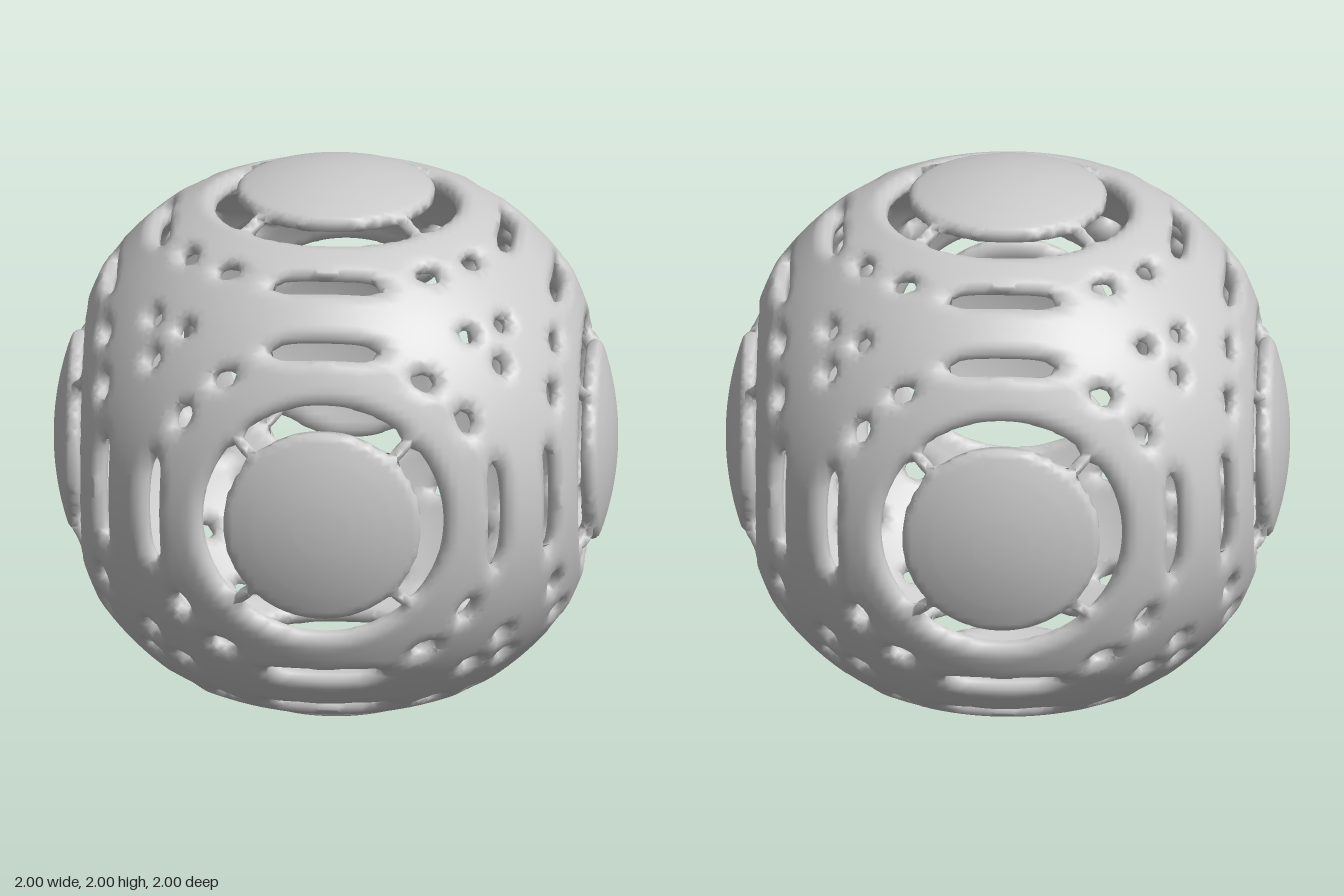
import * as THREE from 'three';

const clamp = THREE.MathUtils.clamp;

// Holes, given as squared direction components in eighths (smallest to largest) and a radius.
// Each one repeats over all mirrored and permuted axes.
const HOLES = [
  [0, 3, 5, 0.045], // long slots between neighbouring caps
  [1, 2, 5, 0.035], // pairs of small holes
  [2, 3, 3, 0.034], // three holes around each corner
];

// Signed distance to the surface of a perforated shell with rounded hole edges.
function field(x, y, z) {
  const r = Math.hypot(x, y, z);
  if (r < 0.8) return 0.1;
  const [a, b, c] = [Math.abs(x) / r, Math.abs(y) / r, Math.abs(z) / r].sort((p, q) => p - q);
  const u = a * a, v = b * b, w = c * c;

  // the caps are a little thinner than the bands
  const cap = clamp((w - 0.81) / 0.05, 0, 1);
  const band = 0.962 + 0.025 * clamp((0.8 - w) / 0.15, 0, 1);
  const radius = band + (0.97 - band) * cap;
  const half = 0.036 - 0.006 * cap;

  // ring gap around each cap, bridged on the diagonals
  const ring = (0.034 - Math.abs(w - 0.834)) / 0.75;
  const bridge = (b - a) / Math.SQRT2 - 0.022;
  let edge = -Math.min(ring, bridge);
  for (const [i, j, k, size] of HOLES) {
    const d = Math.hypot(u - i / 8, v - j / 8, w - k / 8);
    edge = Math.min(edge, (d - size) / 1.3);
  }
  return Math.hypot(r - radius, Math.max(0, half - edge)) - half;
}

// Quad mesh of the zero level of a field: one vertex per crossed cell, one quad per crossed edge.
function surfaceNet(f, n, extent) {
  const h = (2 * extent) / n, m = n + 1;
  const strides = [1, m, m * m];
  const at = (i) => -extent + i * h;
  const values = new Float32Array(m * m * m);
  for (let k = 0, q = 0; k < m; k++)
    for (let j = 0; j < m; j++)
      for (let i = 0; i < m; i++) values[q++] = f(at(i), at(j), at(k));

  const positions = [], normals = [], indices = [];
  const cellVertex = new Int32Array(m * m * m).fill(-1);
  const gradient = (p) => {
    const e = 0.004;
    return new THREE.Vector3(
      f(p.x + e, p.y, p.z) - f(p.x - e, p.y, p.z),
      f(p.x, p.y + e, p.z) - f(p.x, p.y - e, p.z),
      f(p.x, p.y, p.z + e) - f(p.x, p.y, p.z - e)
    ).divideScalar(2 * e);
  };

  for (let k = 0; k < n; k++)
    for (let j = 0; j < n; j++)
      for (let i = 0; i < n; i++) {
        const base = i + j * m + k * m * m;
        const p = new THREE.Vector3();
        let count = 0;
        // average the crossings on the cell's twelve edges
        for (let corner = 0; corner < 8; corner++) {
          const o = [corner & 1, (corner >> 1) & 1, corner >> 2];
          const s = base + o[0] + o[1] * m + o[2] * m * m;
          for (let axis = 0; axis < 3; axis++) {
            if (o[axis]) continue;
            const v0 = values[s], v1 = values[s + strides[axis]];
            if (v0 < 0 === v1 < 0) continue;
            const t = [...o];
            t[axis] = v0 / (v0 - v1);
            p.x += t[0]; p.y += t[1]; p.z += t[2];
            count++;
          }
        }
        if (!count) continue;
        p.divideScalar(count);
        p.set(at(i + p.x), at(j + p.y), at(k + p.z));
        // pull the vertex onto the surface
        const g = gradient(p);
        const step = clamp(f(p.x, p.y, p.z) / Math.max(g.lengthSq(), 0.3), -h / 3, h / 3);
        p.addScaledVector(g, -step);
        cellVertex[base] = positions.length / 3;
        positions.push(p.x, p.y, p.z);
      }

  for (let k = 1; k < n; k++)
    for (let j = 1; j < n; j++)
      for (let i = 1; i < n; i++) {
        const s = i + j * m + k * m * m;
        for (let axis = 0; axis < 3; axis++) {
          const inside = values[s] < 0;
          if (inside === values[s + strides[axis]] < 0) continue;
          const b = strides[(axis + 1) % 3], c = strides[(axis + 2) % 3];
          const quad = [s - b - c, s - c, s, s - b].map((q) => cellVertex[q]);
          if (!inside) quad.reverse();
          indices.push(quad[0], quad[1], quad[2], quad[0], quad[2], quad[3]);
        }
      }

  const geometry = new THREE.BufferGeometry();
  geometry.setAttribute('position', new THREE.Float32BufferAttribute(positions, 3));
  geometry.setIndex(indices);
  geometry.computeVertexNormals();
  return geometry;
}

export function createModel() {
  const group = new THREE.Group();
  group.name = 'perforatedSphere';
  const shell = new THREE.Mesh(
    surfaceNet(field, 76, 1.05),
    new THREE.MeshStandardMaterial({ color: 0xcccccc })
  );
  shell.name = 'shell';
  shell.position.y = 1;
  group.add(shell);
  return group;
}
